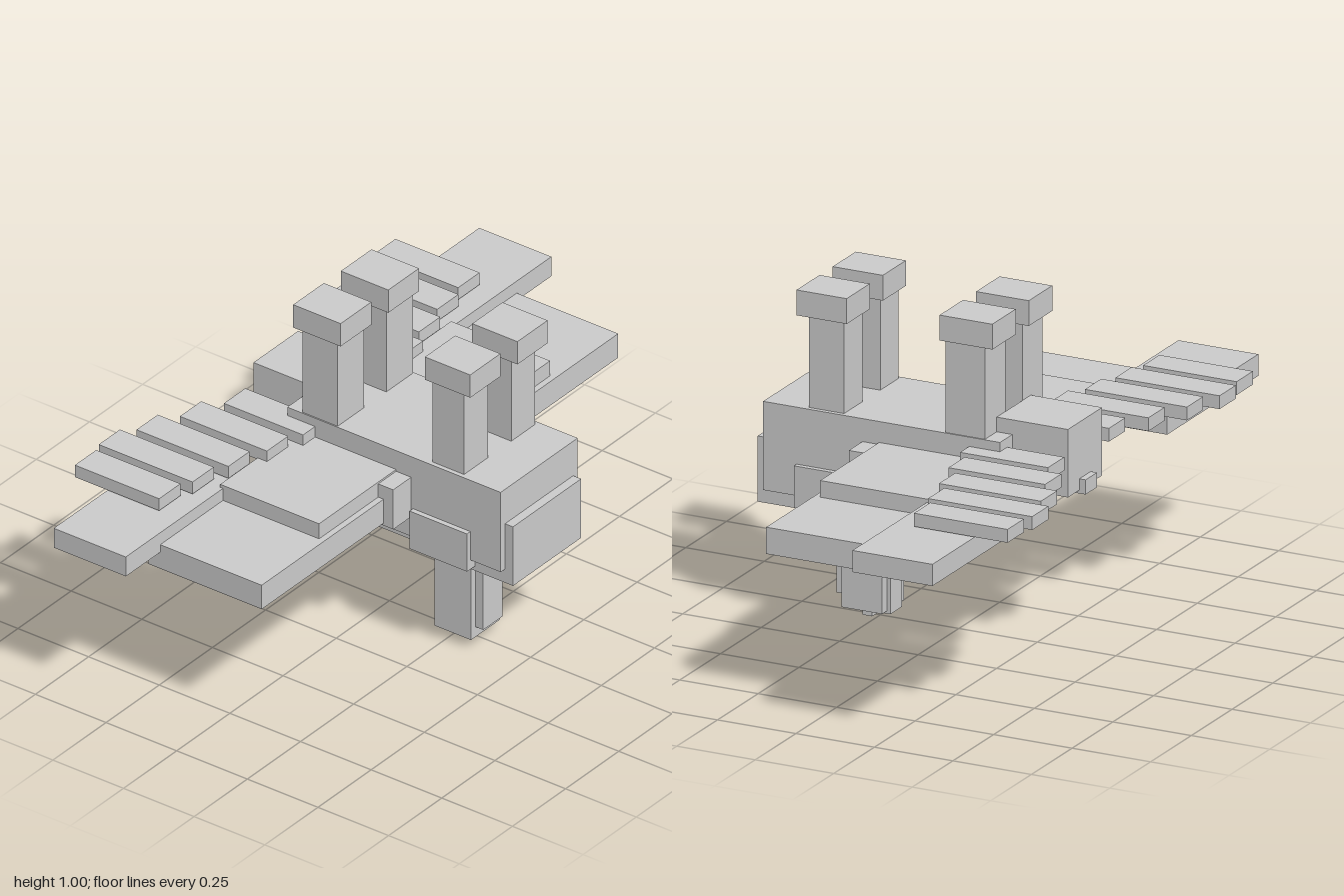
import * as THREE from 'three';

export function createModel() {
  const model = new THREE.Group();
  model.name = 'blockCreature';
  const grey = new THREE.MeshStandardMaterial({ color: 0xcccccc });
  grey.name = 'plain light grey';

  // Box given by its limits on each axis
  function box(name, [x0, x1], [y0, y1], [z0, z1]) {
    const mesh = new THREE.Mesh(new THREE.BoxGeometry(x1 - x0, y1 - y0, z1 - z0), grey);
    mesh.position.set((x0 + x1) / 2, (y0 + y1) / 2, (z0 + z1) / 2);
    mesh.name = name;
    model.add(mesh);
  }
  const centred = (name, w, y, z) => box(name, [-w, w], y, z);
  function pair(name, [x0, x1], y, z) {
    box(name + 'Left', [x0, x1], y, z);
    box(name + 'Right', [-x1, -x0], y, z);
  }

  // Body and face
  centred('body', 0.181, [0.386, 0.652], [-0.225, 0.53]);
  centred('facePlate', 0.16, [0.34, 0.537], [0.328, 0.558]);
  centred('bellyPlate', 0.13, [0.335, 0.386], [-0.033, 0.308]);
  pair('cheek', [0.13, 0.197], [0.355, 0.481], [0.22, 0.423]);

  // Hanging post with its front and back strips and tip
  centred('post', 0.067, [0.03, 0.386], [0.21, 0.339]);
  centred('postFront', 0.045, [0.063, 0.356], [0.3, 0.366]);
  centred('postBack', 0.035, [0.021, 0.356], [0.2, 0.28]);
  centred('postTip', 0.022, [0, 0.055], [0.265, 0.295]);

  // Rear block and tail
  centred('rearBlock', 0.105, [0.492, 0.696], [-0.402, -0.175]);
  centred('tail', 0.035, [0.482, 0.526], [-0.422, -0.235]);

  // Four upright legs with square caps
  pair('frontLeg', [0.055, 0.167], [0.64, 0.93], [0.279, 0.39]);
  pair('frontFoot', [0.04, 0.182], [0.928, 1.004], [0.263, 0.423]);
  pair('rearLeg', [0.052, 0.177], [0.64, 0.93], [-0.175, -0.05]);
  pair('rearFoot', [0.04, 0.184], [0.928, 1.004], [-0.202, -0.034]);

  // Stepped wings
  pair('wingRoot', [0.12, 0.265], [0.451, 0.583], [-0.077, 0.213]);
  pair('wingCover', [0.15, 0.543], [0.507, 0.589], [-0.19, 0.16]);
  pair('wingMain', [0.15, 0.838], [0.459, 0.539], [-0.221, 0.179]);
  pair('wingTip', [0.44, 1], [0.514, 0.579], [-0.435, -0.18]);

  // Feather slats: inner x, back z, front z
  const feathers = [
    [0.137, -0.407, -0.127], [0.267, -0.465, -0.157], [0.398, -0.52, -0.195],
    [0.525, -0.558, -0.226], [0.653, -0.546, -0.248],
  ];
  feathers.forEach(([x, back, front], i) =>
    pair('feather' + (i + 1), [x, x + 0.1], [0.584, 0.624], [back, front]));

  return model;
}
